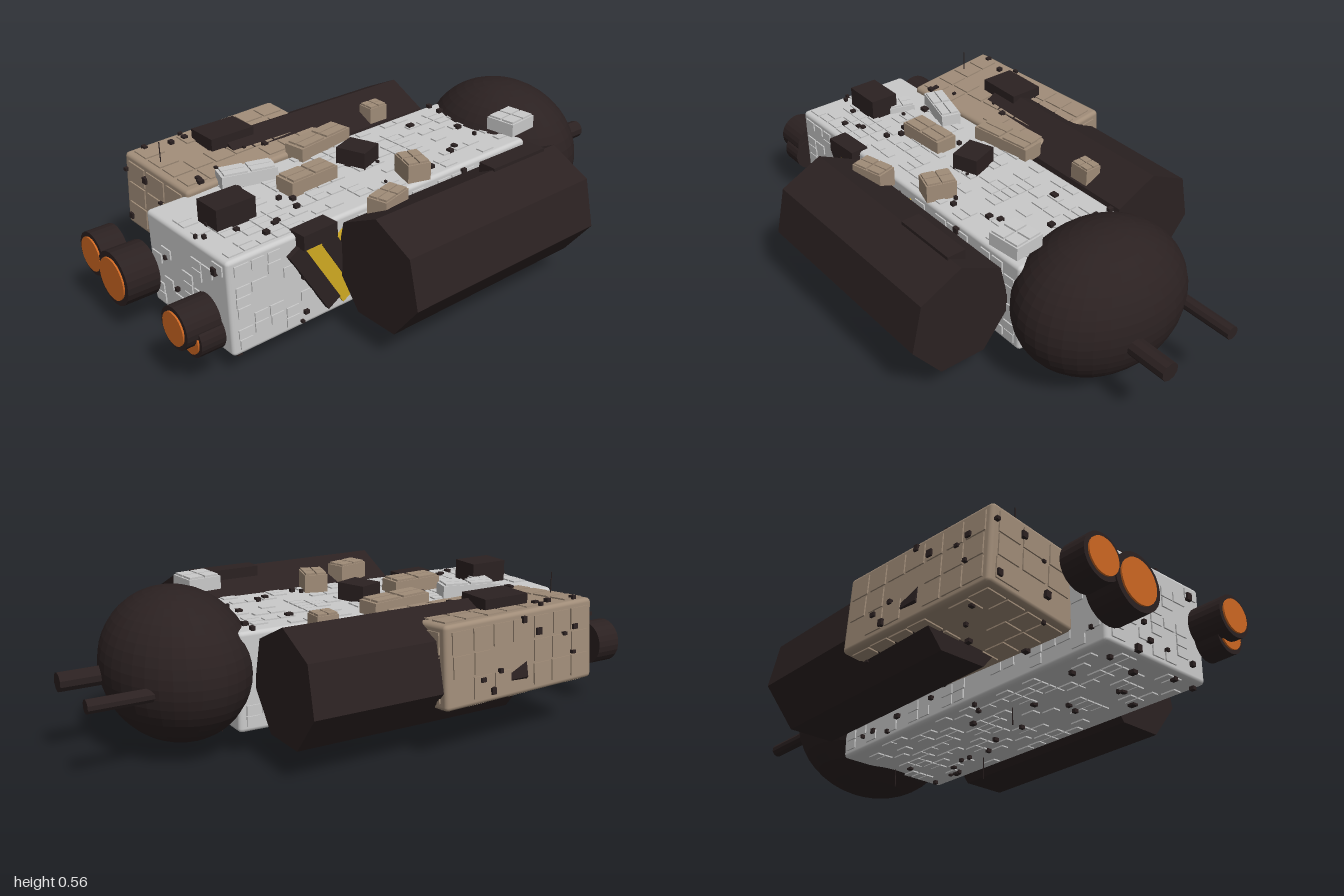
import * as THREE from 'three';
import { RoundedBoxGeometry } from 'three/addons/geometries/RoundedBoxGeometry.js';

const material = (name, color, flatShading = false) => {
  const m = new THREE.MeshStandardMaterial({ color, flatShading });
  m.name = name;
  return m;
};

export function createModel() {
  const model = new THREE.Group();
  model.name = 'cargoShip';
  const grey = material('hullGrey', 0xcacaca);
  const tan = material('tan', 0xa08c78);
  const dark = material('darkBrown', 0x2b2121, true);
  const orange = material('engineOrange', 0xcd6722);
  const yellow = material('hazardYellow', 0xd0aa22);

  let seed = 7;
  const random = () => (seed = (seed * 16807) % 2147483647) / 2147483647;

  const add = (parent, name, geometry, mat, x = 0, y = 0, z = 0) => {
    const mesh = new THREE.Mesh(geometry, mat);
    mesh.name = name;
    mesh.position.set(x, y, z);
    parent.add(mesh);
    return mesh;
  };
  const box = (parent, name, w, h, d, mat, x, y, z) =>
    add(parent, name, new THREE.BoxGeometry(w, h, d), mat, x, y, z);

  // Rounded block with staggered surface plates and small dark fittings on all faces
  const platedBlock = (name, w, h, d, mat, cell, fill, specks) => {
    const block = new THREE.Group();
    block.name = name;
    add(block, name + 'Body', new RoundedBoxGeometry(w, h, d, 2, 0.015), mat);
    const faces = [
      [w, h, d / 2, 0, 0], [w, h, d / 2, 0, Math.PI],
      [d, h, w / 2, 0, Math.PI / 2], [d, h, w / 2, 0, -Math.PI / 2],
      [w, d, h / 2, -Math.PI / 2, 0], [w, d, h / 2, Math.PI / 2, 0],
    ];
    for (const [a, b, out, rx, ry] of faces) {
      const face = new THREE.Group();
      face.name = name + 'Plating';
      face.rotation.set(rx, ry, 0);
      block.add(face);
      // long faces along z get plates that run lengthwise
      const cw = rx ? cell[1] : cell[0], ch = rx ? cell[0] : cell[1];
      const nu = Math.max(1, Math.floor((a - 0.04) / cw)), nv = Math.max(1, Math.floor((b - 0.04) / ch));
      const su = (a - 0.04) / nu, sv = (b - 0.04) / nv;
      for (let i = 0; i < nu; i++) for (let j = 0; j < nv; j++) {
        if (random() > fill) continue;
        const pw = su * (0.75 + random() * 0.2), ph = sv * 0.9;
        box(face, 'plate', pw, ph, 0.008, mat,
          (i + 0.5) * su - a / 2 + 0.02, (j + 0.5) * sv - b / 2 + 0.02, out + 0.001);
      }
      const count = Math.round(specks * a * b);
      for (let k = 0; k < count; k++) {
        const s = 0.01 + random() * 0.012;
        box(face, 'fitting', s, s * (0.7 + random() * 0.6), 0.016, dark,
          (random() - 0.5) * (a - 0.03), (random() - 0.5) * (b - 0.03), out + 0.005);
      }
    }
    model.add(block);
    return block;
  };

  // Main hull
  const hull = platedBlock('hull', 0.465, 0.345, 1.32, grey, [0.06, 0.034], 0.45, 42);
  hull.position.set(0.015, 0.255, 0.168);
  hull.rotation.x = 0.012;

  // Tilted cargo pod on the right
  const pod = platedBlock('cargoPod', 0.37, 0.285, 0.66, tan, [0.085, 0.068], 0.8, 45);
  pod.position.set(-0.403, 0.315, 0.368);
  pod.rotation.set(0, 0.06, -0.08);

  // Heptagonal side tanks
  for (const x of [-0.405, 0.432]) {
    const tank = new THREE.CylinderGeometry(0.2, 0.2, 0.83, 7);
    tank.rotateX(-Math.PI / 2);
    add(model, 'sideTank', tank, dark, x, 0.292, -0.015);
  }
  box(model, 'tankRail', 0.07, 0.04, 0.25, dark, 0.405, 0.48, -0.245);

  // Rear dome and its rods
  const dome = add(model, 'rearDome', new THREE.SphereGeometry(1, 36, 24), dark, 0.01, 0.296, -0.615);
  dome.scale.set(0.32, 0.262, 0.25);
  for (const [x, y, r] of [[-0.2, 0.275, 0.024], [0.08, 0.272, 0.034]]) {
    const rod = new THREE.CylinderGeometry(r, r, 0.3, 10);
    rod.rotateX(Math.PI / 2);
    add(model, 'rearRod', rod, dark, x, y, -0.85);
  }

  // Engines: dark drums with glowing discs: x, y, radius, back z, front z
  const engines = [
    [-0.372, 0.235, 0.079, 0.868, 0.962], [-0.23, 0.205, 0.097, 0.846, 0.967],
    [0.193, 0.236, 0.073, 0.872, 0.994], [0.215, 0.193, 0.064, 0.868, 0.955],
  ];
  for (const [x, y, r, z0, z1] of engines) {
    const drum = new THREE.CylinderGeometry(r, r, z1 - z0, 24);
    drum.rotateX(Math.PI / 2);
    add(model, 'engineDrum', drum, dark, x, y, (z0 + z1) / 2);
    const disc = new THREE.CylinderGeometry(r * 0.79, r * 0.79, 0.008, 24);
    disc.rotateX(Math.PI / 2);
    add(model, 'engineGlow', disc, orange, x, y, z1 + 0.002);
  }

  // Slanted hazard bars on the left flank
  for (let i = 0; i < 8; i++) {
    const isDark = i % 2 === 0;
    const bar = box(model, 'hazardBar', isDark ? 0.028 : 0.02, 0.29, 0.058, isDark ? dark : yellow,
      0.253, 0.25, 0.51 - i * 0.065);
    bar.rotation.x = 0.54;
  }

  // Deck boxes: material, x, z, width, depth, bottom y, top y, turn
  const deck = [
    [dark, 0.02, 0.67, 0.11, 0.15, 0.42, 0.5, 0],
    [dark, -0.435, 0.375, 0.13, 0.18, 0.45, 0.506, 0],
    [dark, -0.02, 0.09, 0.115, 0.1, 0.42, 0.492, 0.35],
    [dark, 0.25, 0.5, 0.07, 0.14, 0.38, 0.432, 0.05],
    [tan, -0.205, 0.12, 0.085, 0.25, 0.42, 0.477, 0.15],
    [tan, 0, 0.33, 0.085, 0.2, 0.42, 0.478, 0.05],
    [tan, 0.19, 0.02, 0.11, 0.085, 0.43, 0.495, -0.3],
    [tan, 0.31, 0.24, 0.075, 0.13, 0.41, 0.482, 0.25],
    [tan, -0.287, -0.215, 0.065, 0.08, 0.42, 0.48, 0],
    [grey, 0.22, -0.435, 0.115, 0.125, 0.485, 0.532, 0.1],
    [grey, -0.16, 0.465, 0.075, 0.2, 0.42, 0.472, -0.28],
    [grey, -0.06, 0.61, 0.1, 0.07, 0.42, 0.445, -0.3],
  ];
  for (const [mat, x, z, w, d, y0, y1, turn] of deck) {
    const unit = new THREE.Group();
    unit.name = 'deckBox';
    unit.position.set(x, 0, z);
    unit.rotation.y = turn;
    model.add(unit);
    box(unit, 'deckBoxBody', w, y1 - y0, d, mat, 0, (y0 + y1) / 2, 0);
    if (mat === dark) continue;
    // raised lid panels
    for (const sx of [-1, 1]) for (const sz of [-1, 1]) {
      box(unit, 'lidPanel', w * 0.42, 0.008, d * 0.42, mat, sx * w * 0.24, y1 + 0.003, sz * d * 0.24);
    }
  }

  // Thin antennas: x, z, bottom y, top y
  const antennas = [
    [-0.41, 0.65, 0.44, 0.54], [0.16, -0.13, 0, 0.1],
    [-0.08, 0.28, 0.02, 0.1], [0, -0.455, 0.02, 0.1],
  ];
  for (const [x, z, y0, y1] of antennas) {
    add(model, 'antenna', new THREE.CylinderGeometry(0.002, 0.002, y1 - y0, 5), dark, x, (y0 + y1) / 2, z);
  }

  return model;
}
